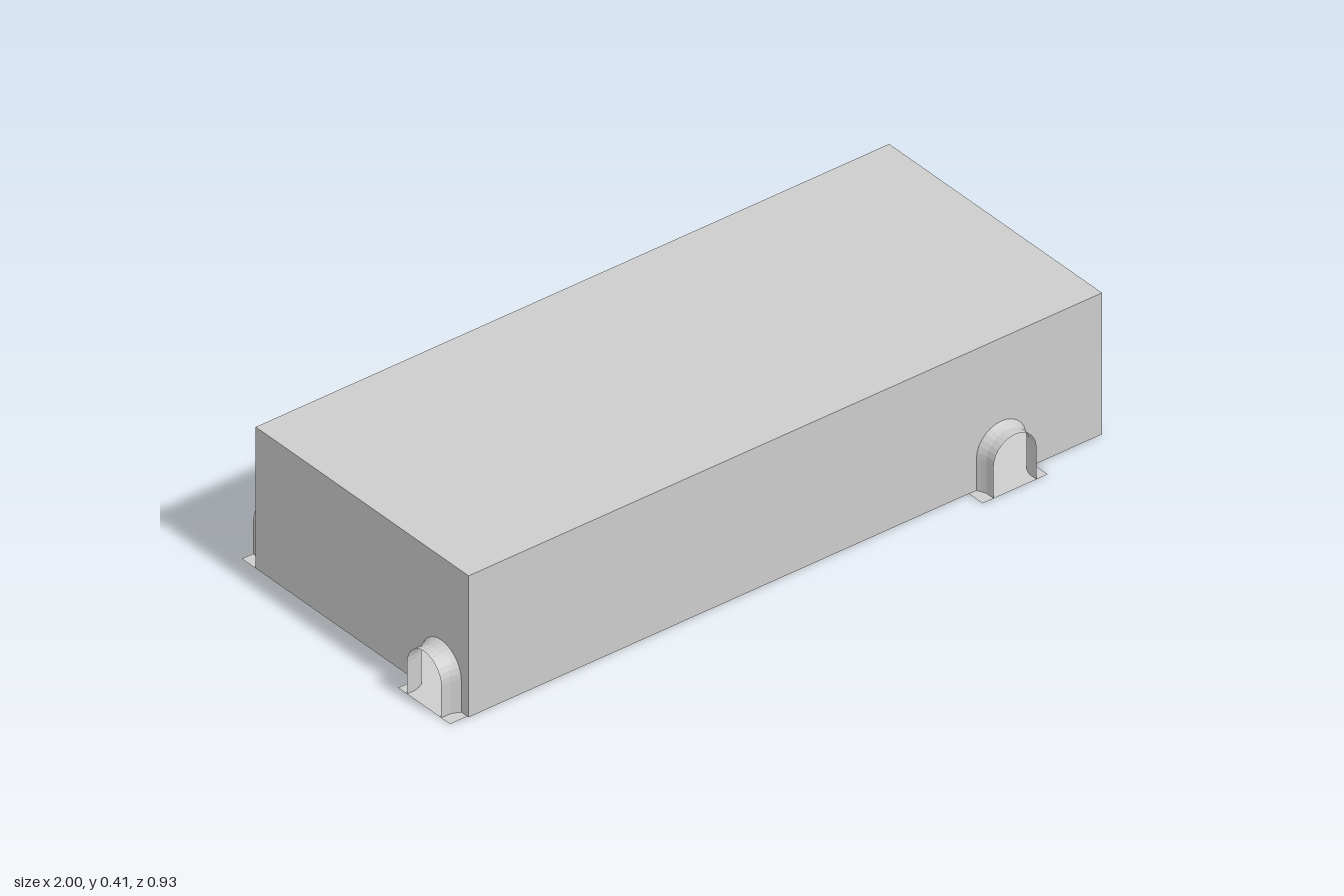
import * as THREE from 'three';

const H = 0.41, X0 = -0.95, X1 = 1, Z = 0.41;
const SPRING = 0.092, R_WALL = 0.077, SEG = 14;

// Open-bottomed arch outline: jamb, semicircle, jamb
function archPoints(r) {
  const pts = [new THREE.Vector2(r, 0)];
  for (let i = 0; i <= SEG; i++) {
    const a = (Math.PI * i) / SEG;
    pts.push(new THREE.Vector2(r * Math.cos(a), SPRING + r * Math.sin(a)));
  }
  pts.push(new THREE.Vector2(-r, 0));
  return pts;
}

// Flared tunnel skin swept outward along +z
function tunnelGeometry() {
  const rings = [[0, R_WALL], [0.012, 0.071], [0.025, 0.066], [0.053, 0.066]];
  const pos = [], idx = [], n = SEG + 3;
  for (const [z, r] of rings) for (const p of archPoints(r)) pos.push(p.x, p.y, z);
  for (let j = 0; j < rings.length - 1; j++) {
    for (let i = 0; i < n - 1; i++) {
      const a = j * n + i, b = a + 1, c = a + n, d = c + 1;
      idx.push(a, d, c, a, b, d);
    }
  }
  const g = new THREE.BufferGeometry();
  g.setAttribute('position', new THREE.Float32BufferAttribute(pos, 3));
  g.setIndex(idx);
  const flat = g.toNonIndexed();
  flat.computeVertexNormals();
  return flat;
}

// Flat wall facing +z, with an optional doorway at local x = door
function wallGeometry(width, door) {
  const w = width / 2;
  const pts = [new THREE.Vector2(-w, 0)];
  if (door !== undefined) {
    const arch = archPoints(R_WALL).reverse();
    pts.push(...arch.map((p) => new THREE.Vector2(p.x + door, p.y)));
  }
  pts.push(new THREE.Vector2(w, 0), new THREE.Vector2(w, H), new THREE.Vector2(-w, H));
  return new THREE.ShapeGeometry(new THREE.Shape(pts));
}

export function createModel() {
  const group = new THREE.Group();
  const grey = new THREE.MeshStandardMaterial({ color: 0xcccccc, side: THREE.DoubleSide });
  grey.name = 'light grey';

  const add = (parent, name, geometry) => {
    const mesh = new THREE.Mesh(geometry, grey);
    mesh.name = name;
    parent.add(mesh);
    return mesh;
  };

  const cx = (X0 + X1) / 2, width = X1 - X0, depth = 2 * Z;

  // Roof and floor of the hollow hall
  const roof = add(group, 'roof', new THREE.PlaneGeometry(width, depth).rotateX(-Math.PI / 2));
  roof.position.set(cx, H, 0);
  const floor = add(group, 'floor', new THREE.PlaneGeometry(width, depth).rotateX(Math.PI / 2));
  floor.position.set(cx, 0, 0);

  // Walls; door is the doorway offset along each wall's own x axis
  const walls = [
    { name: 'front', x: cx, z: Z, turn: 0, width, door: 0.69 - cx },
    { name: 'back', x: cx, z: -Z, turn: Math.PI, width, door: cx + 0.85 },
    { name: 'right', x: X0, z: 0, turn: -Math.PI / 2, width: depth, door: 0.305 },
    { name: 'left', x: X1, z: 0, turn: Math.PI / 2, width: depth },
  ];
  for (const w of walls) {
    const side = new THREE.Group();
    side.name = w.name + 'Side';
    side.position.set(w.x, 0, w.z);
    side.rotation.y = w.turn;
    group.add(side);
    add(side, w.name + 'Wall', wallGeometry(w.width, w.door));
    if (w.door === undefined) continue;

    // Arched entrance and its doorstep
    add(side, w.name + 'Arch', tunnelGeometry()).position.x = w.door;
    const step = add(side, w.name + 'Doorstep', new THREE.PlaneGeometry(0.2, 0.053).rotateX(-Math.PI / 2));
    step.position.set(w.door, 0, 0.0265);
  }
  return group;
}
